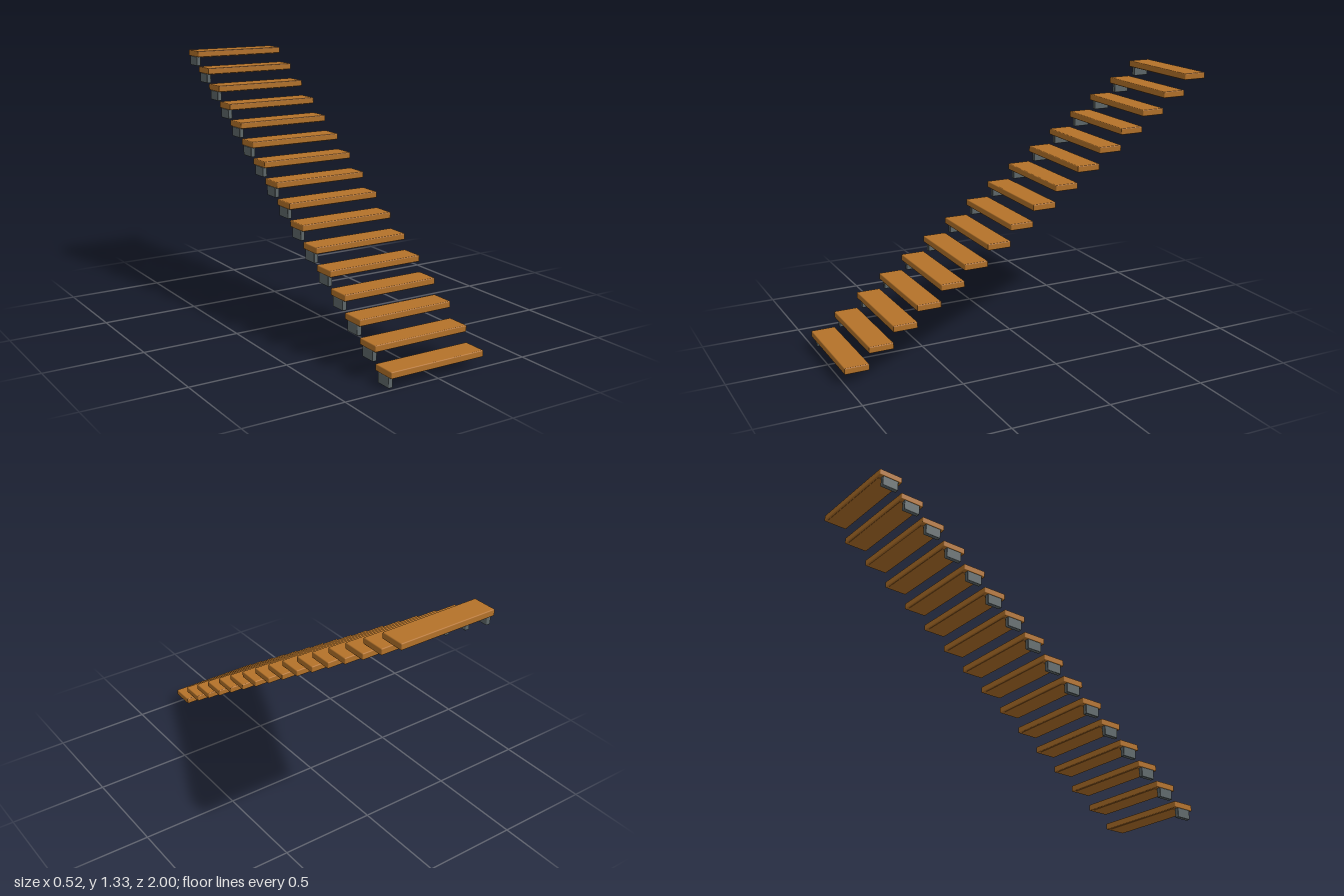
import * as THREE from 'three';
import { RoundedBoxGeometry } from 'three/addons/geometries/RoundedBoxGeometry.js';

const STEPS = 16;
const RISE = 1.333 / STEPS;
const RUN = 2 / STEPS;
const WIDTH = 0.52;
const TREAD = 0.033;   // tread thickness
const BRACKET = 0.051; // bracket height

export function createModel() {
  const wood = new THREE.MeshStandardMaterial({ name: 'wood', color: 0xb5732a });
  const metal = new THREE.MeshStandardMaterial({ name: 'grey metal', color: 0x5f696b });

  const treadGeo = new RoundedBoxGeometry(WIDTH, TREAD, RUN, 2, 0.005);
  const panelGeo = new THREE.BoxGeometry(WIDTH - 0.055, 0.004, RUN - 0.02);
  const bracketGeo = new RoundedBoxGeometry(0.024, BRACKET, 0.085, 2, 0.004);

  const group = new THREE.Group();
  group.name = 'floatingStaircase';

  const add = (parent, name, geo, mat, x, y) => {
    const mesh = new THREE.Mesh(geo, mat);
    mesh.name = name;
    mesh.position.set(x, y, 0);
    parent.add(mesh);
  };

  // Each step climbs towards the back, carried by a wall bracket on one side
  for (let i = 0; i < STEPS; i++) {
    const step = new THREE.Group();
    step.name = `step${i + 1}`;
    step.position.set(0, i * RISE, 1 - RUN * (i + 0.5));
    add(step, 'tread', treadGeo, wood, 0, BRACKET + TREAD / 2 - 0.001);
    add(step, 'undersidePanel', panelGeo, wood, 0, BRACKET - 0.001);
    add(step, 'wallBracket', bracketGeo, metal, -WIDTH / 2 + 0.012, BRACKET / 2);
    group.add(step);
  }
  return group;
}
